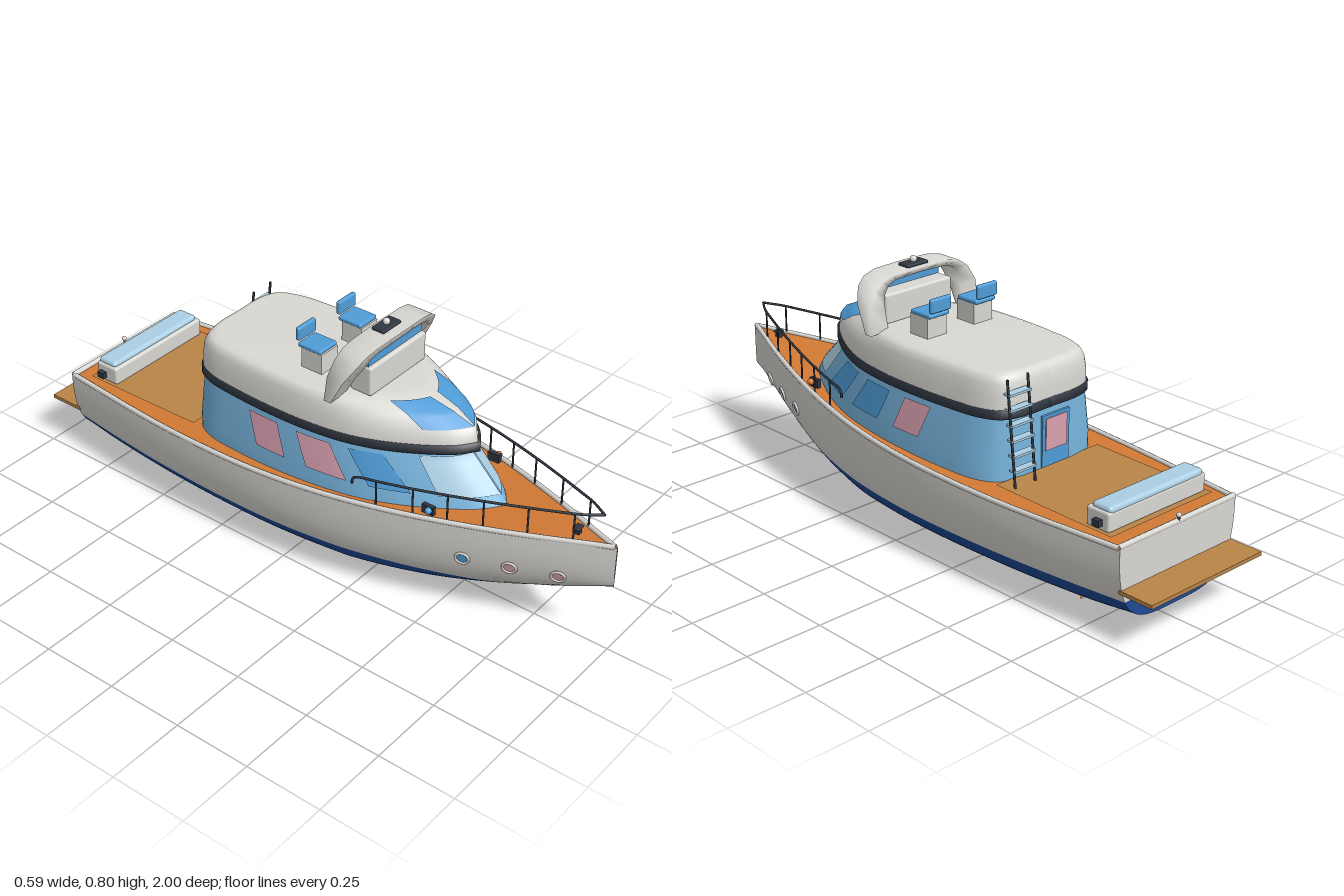
import * as THREE from 'three';
import { RoundedBoxGeometry } from 'three/addons/geometries/RoundedBoxGeometry.js';

const V = (x, y, z) => new THREE.Vector3(x, y, z);
const lerp = THREE.MathUtils.lerp, clamp = THREE.MathUtils.clamp;

// smooth interpolation through [position, value] pairs
function spline(table, z) {
  const n = table.length;
  let i = 0;
  while (i < n - 2 && z > table[i + 1][0]) i++;
  const slope = k => {
    const a = table[Math.max(k - 1, 0)], b = table[Math.min(k + 1, n - 1)];
    return (b[1] - a[1]) / (b[0] - a[0]);
  };
  const [z0, p0] = table[i], [z1, p1] = table[i + 1], h = z1 - z0, t = clamp((z - z0) / h, 0, 1);
  const t2 = t * t, t3 = t2 * t;
  return (2 * t3 - 3 * t2 + 1) * p0 + (t3 - 2 * t2 + t) * h * slope(i)
    + (3 * t2 - 2 * t3) * p1 + (t3 - t2) * h * slope(i + 1);
}

// grid surface from a rule (u, v) -> point
function grid(fn, nu, nv) {
  const pos = [], idx = [];
  for (let i = 0; i <= nu; i++) for (let j = 0; j <= nv; j++) {
    pos.push(...fn(i / nu, j / nv).toArray());
    if (i < nu && j < nv) {
      const a = i * (nv + 1) + j, b = a + nv + 1;
      idx.push(a, b, a + 1, b, b + 1, a + 1);
    }
  }
  const g = new THREE.BufferGeometry();
  g.setAttribute('position', new THREE.Float32BufferAttribute(pos, 3));
  g.setIndex(idx);
  g.computeVertexNormals();
  return g;
}

// hull lines
const BEAM = [[-0.89, 0.24], [-0.5, 0.28], [-0.2, 0.293], [0, 0.287], [0.2, 0.262], [0.4, 0.218], [0.6, 0.158], [0.8, 0.085], [1, 0.002]];
const KEEL = [[-0.89, 0.05], [-0.7, 0.035], [-0.3, 0.028], [0.1, 0.028], [0.3, 0.033], [0.5, 0.058], [0.7, 0.11], [0.85, 0.163], [1, 0.23]];
const SHEER = [[-0.89, 0.294], [-0.4, 0.3], [0, 0.314], [0.5, 0.338], [1, 0.366]];
const beam = z => spline(BEAM, z), keel = z => spline(KEEL, z), sheer = z => spline(SHEER, z);
const waterline = z => Math.max(0.125, keel(z) + 0.005);
function hullPoint(side, z, y) {
  const t = clamp((y - keel(z)) / (sheer(z) - keel(z)), 0, 1);
  const power = lerp(0.25, 0.5, clamp((z - 0.2) / 0.8, 0, 1));
  return V(side * beam(z) * Math.pow(1 - Math.pow(1 - t, 2.6), power), y, z);
}

// cabin plan (half outline, stern to bow) and its scaling by height: [y, x, front z, back z]
const PLAN = new THREE.CatmullRomCurve3([[0, -0.395], [0.12, -0.394], [0.19, -0.37], [0.225, -0.31], [0.241, -0.2], [0.248, -0.05],
  [0.242, 0.1], [0.22, 0.25], [0.18, 0.37], [0.12, 0.49], [0.06, 0.58], [0, 0.63]].map(p => V(p[0], 0, p[1])));
const GLASS = [[0.28, 1, 1.05, 1], [0.35, 1, 1, 1], [0.47, 0.925, 0.81, 0.99], [0.5, 0.91, 0.8, 0.99]];
const BAND = [[0.487, 0.9, 0.79, 0.98], [0.4871, 0.935, 0.845, 1.01], [0.515, 0.935, 0.845, 1.01], [0.5151, 0.9, 0.8, 0.98]];
const TOP = [[0.513, 0.92, 0.83, 1], [0.555, 0.91, 0.82, 1], [0.59, 0.885, 0.71, 0.99], [0.607, 0.86, 0.61, 0.97],
  [0.616, 0.82, 0.55, 0.95], [0.621, 0.75, 0.49, 0.91], [0.622, 0, 0, 0]];
function planAt(z) {
  let a = 0, b = 1;
  for (let i = 0; i < 24; i++) {
    const m = (a + b) / 2;
    if (PLAN.getPoint(m).z < z) a = m; else b = m;
  }
  return a;
}
function shell(levels, side, t, y) {
  let i = 0;
  while (i < levels.length - 2 && y > levels[i + 1][0]) i++;
  const A = levels[i], B = levels[i + 1], k = clamp((y - A[0]) / (B[0] - A[0]), 0, 1);
  const p = PLAN.getPoint(clamp(t, 0, 1)), s = c => lerp(A[c], B[c], k);
  return V(side * p.x * s(1), y, p.z * (p.z > 0 ? s(2) : s(3)));
}
const loft = levels => grid((u, v) => {
  const y = levels[Math.round(v * (levels.length - 1))][0];
  return u < 0.5 ? shell(levels, 1, u * 2, y) : shell(levels, -1, 2 - u * 2, y);
}, 96, levels.length - 1);
// thin pane lying on a shell, between two plan stations and two heights
const pane = (levels, side, z0, z1, y0, y1, lean) => grid((u, v) => {
  const t = planAt(lerp(z0, z1, u) - lean * v), y = lerp(y0, y1, v), e = 0.003;
  const p = shell(levels, side, t, y);
  const du = shell(levels, side, t + e, y).sub(shell(levels, side, t - e, y));
  const dv = shell(levels, side, t, y + e).sub(shell(levels, side, t, y - e));
  const n = du.cross(dv).normalize();
  if (n.x * p.x + n.z * p.z < 0) n.negate();
  return p.addScaledVector(n, 0.004);
}, 14, 10);

export function createModel() {
  const root = new THREE.Group();
  const paint = (name, color) => {
    const m = new THREE.MeshStandardMaterial({ color, side: THREE.DoubleSide });
    m.name = name;
    return m;
  };
  const white = paint('white', 0xdad8d3), navy = paint('navy', 0x1d4a96), orange = paint('orange', 0xd27a35),
    wood = paint('wood', 0xb98548), dark = paint('charcoal', 0x2f3640), glass = paint('glass blue', 0x78b5de),
    blue = paint('blue', 0x4f9dd8), pink = paint('pink', 0xd9a0b0), pale = paint('pale blue', 0xaccfe4);
  const add = (name, geo, mat, x = 0, y = 0, z = 0) => {
    const m = new THREE.Mesh(geo, mat);
    m.name = name;
    m.position.set(x, y, z);
    root.add(m);
    return m;
  };
  const box = (name, mat, w, h, d, x, y, z) => add(name, new THREE.BoxGeometry(w, h, d), mat, x, y, z);
  const soft = (name, mat, w, h, d, r, x, y, z) => add(name, new RoundedBoxGeometry(w, h, d, 3, r), mat, x, y, z);
  const tube = (name, mat, pts, r) => add(name, new THREE.TubeGeometry(new THREE.CatmullRomCurve3(pts), pts.length * 4, r, 8), mat);
  const rod = (name, mat, a, b, r) => add(name, new THREE.TubeGeometry(new THREE.LineCurve3(a, b), 1, r, 8), mat);
  const zs = (u, a = -0.89, b = 1) => lerp(a, b, u);

  // hull sides, bottom, transom and gunwale
  for (const s of [1, -1]) {
    add('hullSide', grid((u, v) => hullPoint(s, zs(u), lerp(waterline(zs(u)), sheer(zs(u)), v)), 60, 12), white);
    add('hullBottom', grid((u, v) => hullPoint(s, zs(u), lerp(keel(zs(u)), waterline(zs(u)), v ** 3)), 60, 14), navy);
    tube('gunwale', white, Array.from({ length: 25 }, (_, i) => V(s * Math.max(beam(zs(i / 24)) - 0.004, 0), sheer(zs(i / 24)), zs(i / 24, -0.885, 0.992))), 0.008);
  }
  const transom = (y0, y1) => grid((u, v) => {
    const p = hullPoint(1, -0.89, lerp(y0, y1, v ** 2));
    p.x *= 2 * u - 1;
    return p;
  }, 2, 12);
  add('transom', transom(0.125, 0.294), white);
  add('transomBottom', transom(0.05, 0.125), navy);
  rod('transomRail', white, V(-0.24, 0.296, -0.883), V(0.24, 0.296, -0.883), 0.009);

  // decks
  add('deck', grid((u, v) => V((2 * v - 1) * beam(zs(u)) * 0.985, sheer(zs(u)) - 0.002, zs(u)), 50, 2), orange);
  add('aftDeckMat', grid((u, v) => V((2 * v - 1) * 0.21, sheer(zs(u, -0.83, -0.39)) + 0.003, zs(u, -0.83, -0.39)), 8, 2), wood);
  box('swimPlatform', wood, 0.46, 0.012, 0.12, 0, 0.16, -0.94);

  // portholes
  [[0.59, blue], [0.72, pink], [0.85, pink]].forEach(([z, mat]) => {
    for (const s of [1, -1]) {
      const p = hullPoint(s, z, 0.225), e = 0.01;
      const n = hullPoint(s, z + e, 0.225).sub(hullPoint(s, z - e, 0.225))
        .cross(hullPoint(s, z, 0.225 + e).sub(hullPoint(s, z, 0.225 - e))).normalize();
      if (n.x * s < 0) n.negate();
      const turn = new THREE.Quaternion().setFromUnitVectors(V(0, 0, 1), n);
      p.addScaledVector(n, 0.003);
      add('portholeGlass', new THREE.CircleGeometry(0.019, 24), mat, p.x, p.y, p.z).quaternion.copy(turn);
      add('portholeRim', new THREE.TorusGeometry(0.02, 0.004, 8, 24), white, p.x, p.y, p.z).quaternion.copy(turn);
    }
  });

  // cabin, windows and door
  add('cabin', loft(GLASS), glass);
  add('cabinBand', loft(BAND), dark);
  add('cabinTop', loft(TOP), white);
  for (const s of [1, -1]) {
    [[0.3, 0.42, blue], [0.09, 0.23, s > 0 ? blue : pink], [-0.1, 0.01, pink]]
      .forEach(([a, b, mat]) => add('sideWindow', pane(GLASS, s, a, b, 0.37, 0.47, 0.04), mat));
    add('frontWindow', pane(GLASS, s, 0.49, 0.63, 0.37, 0.475, 0), pale);
    add('windshield', pane(TOP, s, 0.5, 0.63, 0.56, 0.61, 0.015), blue);
  }
  box('door', blue, 0.11, 0.16, 0.008, -0.02, 0.385, -0.396);
  box('doorWindow', pink, 0.086, 0.1, 0.008, -0.02, 0.405, -0.399);

  // flybridge arch: outer x, y, inner x, y, front z, back z
  const half = [[0.219, 0.61, 0.15, 0.612, 0.16, 0.135], [0.214, 0.69, 0.155, 0.68, 0.2, 0.143], [0.188, 0.738, 0.15, 0.72, 0.228, 0.15],
    [0.155, 0.762, 0.132, 0.745, 0.238, 0.152], [0.11, 0.772, 0.1, 0.756, 0.243, 0.155], [0, 0.774, 0, 0.759, 0.245, 0.155]];
  const rings = half.concat(half.slice(0, -1).reverse().map(r => r.map((v, i) => (i === 0 || i === 2 ? -v : v))));
  add('archRoof', grid((u, v) => {
    const r = rings[Math.round(u * (rings.length - 1))], k = Math.round(v * 4) % 4;
    return k < 2 ? V(r[0], r[1], r[4 + k]) : V(r[2], r[3], r[7 - k]);
  }, rings.length - 1, 4), white);

  // helm console, radar and seats
  soft('console', white, 0.265, 0.095, 0.075, 0.008, 0, 0.665, 0.2);
  box('consoleScreen', blue, 0.255, 0.045, 0.008, 0, 0.73, 0.22);
  soft('radarBase', dark, 0.084, 0.01, 0.045, 0.004, 0, 0.779, 0.19);
  add('radarDome', new THREE.SphereGeometry(0.011, 20, 14), white, 0, 0.791, 0.19);
  for (const s of [1, -1]) {
    box('seatBase', white, 0.075, 0.068, 0.075, s * 0.094, 0.652, 0.02);
    soft('seatCushion', blue, 0.08, 0.014, 0.085, 0.006, s * 0.094, 0.692, 0.012);
    soft('seatBack', blue, 0.08, 0.045, 0.016, 0.007, s * 0.094, 0.725, -0.031);
  }

  // boarding ladder
  for (const x of [0.105, 0.185]) rod('ladderRail', dark, V(x, 0.3, -0.442), V(x, 0.62, -0.405), 0.004);
  for (let i = 0; i < 6; i++) box('ladderRung', pale, 0.086, 0.007, 0.026, 0.145, 0.35 + i * 0.045, -0.432 + i * 0.005);

  // bow railing
  const railX = z => Math.max(beam(z) - 0.012, 0), railY = z => lerp(0.412, 0.457, (z - 0.26) / 0.69);
  for (const s of [1, -1]) {
    const pts = [V(s * railX(0.26), 0.385, 0.255), V(s * railX(0.26), 0.405, 0.258)];
    for (let i = 0; i <= 12; i++) { const z = zs(i / 12, 0.275, 0.95); pts.push(V(s * railX(z) * (i === 12 ? 0 : 1), railY(z), z)); }
    tube('bowRail', dark, pts, 0.004);
    for (const z of [0.88, 0.76, 0.64, 0.54, 0.44, 0.33])
      rod('railPost', dark, V(s * railX(z), sheer(z), z), V(s * railX(z), railY(z), z), 0.003);
    // navigation lamps and stern cleats
    box('lampHousing', dark, 0.014, 0.028, 0.04, s * 0.165, 0.352, 0.475);
    add('lamp', new THREE.SphereGeometry(0.011, 16, 12), s > 0 ? orange : blue, s * 0.177, 0.355, 0.482);
    box('cleat', dark, 0.016, 0.02, 0.025, s * 0.212, 0.325, -0.78);
  }
  box('windlass', dark, 0.014, 0.02, 0.018, 0, 0.365, 0.87);
  soft('windlassTop', dark, 0.03, 0.008, 0.022, 0.003, 0, 0.377, 0.87);

  // stern bench and stern light
  soft('bench', white, 0.4, 0.06, 0.085, 0.008, 0, 0.327, -0.77);
  soft('benchCushion', pale, 0.385, 0.026, 0.072, 0.012, 0, 0.358, -0.775);
  rod('sternLightPost', dark, V(0, 0.295, -0.887), V(0, 0.315, -0.887), 0.004);
  add('sternLight', new THREE.SphereGeometry(0.008, 14, 10), white, 0, 0.316, -0.887);

  // rudder and propellers
  box('rudder', dark, 0.01, 0.045, 0.06, 0, 0.0225, -0.77);
  for (const s of [1, -1]) {
    const prop = new THREE.Group();
    prop.name = 'propeller';
    prop.position.set(s * 0.095, 0.019, -0.64);
    const hub = new THREE.Mesh(new THREE.CylinderGeometry(0.006, 0.006, 0.03, 12).rotateX(Math.PI / 2), orange);
    hub.name = 'propellerHub';
    prop.add(hub);
    for (let i = 0; i < 3; i++) {
      const blade = new THREE.Mesh(new THREE.SphereGeometry(1, 12, 8).scale(0.007, 0.012, 0.002).rotateY(0.5).translate(0, 0.014, 0), orange);
      blade.name = 'propellerBlade';
      blade.rotation.z = i * Math.PI * 2 / 3;
      prop.add(blade);
    }
    root.add(prop);
    rod('propellerShaft', dark, V(s * 0.095, 0.019, -0.64), V(s * 0.095, 0.045, -0.5), 0.003);
  }
  return root;
}
